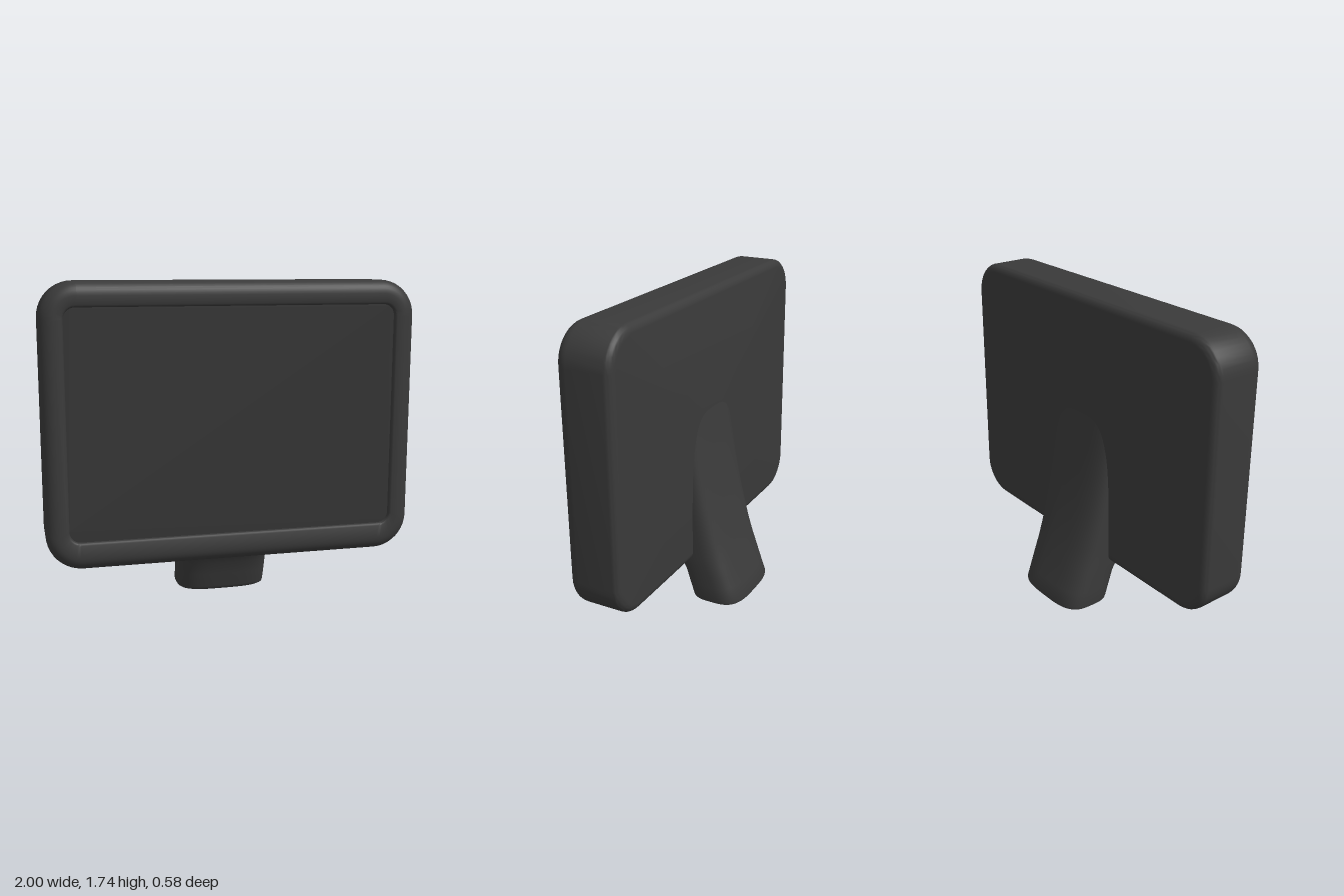
import * as THREE from 'three';
import { toCreasedNormals } from 'three/addons/utils/BufferGeometryUtils.js';

// Skin a list of closed rings, optionally closing the first and last one
function loft(rings, capStart, capEnd) {
  const n = rings[0].length;
  const pos = [], idx = [];
  rings.forEach(r => r.forEach(p => pos.push(p.x, p.y, p.z)));
  for (let k = 0; k < rings.length - 1; k++) {
    for (let i = 0; i < n; i++) {
      const j = (i + 1) % n;
      const a = k * n + i, b = k * n + j, c = a + n, d = b + n;
      idx.push(a, b, d, a, d, c);
    }
  }
  const cap = (k, flip) => {
    const centre = new THREE.Vector3();
    rings[k].forEach(p => centre.addScaledVector(p, 1 / n));
    const c = pos.length / 3;
    pos.push(centre.x, centre.y, centre.z);
    for (let i = 0; i < n; i++) {
      const a = k * n + i, b = k * n + (i + 1) % n;
      if (flip) idx.push(c, b, a); else idx.push(c, a, b);
    }
  };
  if (capStart) cap(0, true);
  if (capEnd) cap(rings.length - 1, false);
  const g = new THREE.BufferGeometry();
  g.setAttribute('position', new THREE.Float32BufferAttribute(pos, 3));
  g.setIndex(idx);
  return toCreasedNormals(g, 0.65);
}

// Rounded rectangle facing +z, counter-clockwise
function roundedRing(hw, hh, r, cy, z) {
  const pts = [], steps = 10;
  [[1, 1], [-1, 1], [-1, -1], [1, -1]].forEach(([sx, sy], q) => {
    for (let i = 0; i <= steps; i++) {
      const a = (q + i / steps) * Math.PI / 2;
      pts.push(new THREE.Vector3(
        sx * (hw - r) + r * Math.cos(a), cy + sy * (hh - r) + r * Math.sin(a), z));
    }
  });
  return pts;
}

// Squared oval lying level at height y, between two z limits
function ovalRing(y, zBack, zFront, hw) {
  const pts = [], n = 56, e = 2 / 3.3;
  const zc = (zBack + zFront) / 2, hd = (zFront - zBack) / 2;
  const power = v => Math.sign(v) * Math.abs(v) ** e;
  for (let i = 0; i < n; i++) {
    const a = i / n * Math.PI * 2;
    pts.push(new THREE.Vector3(hw * power(Math.cos(a)), y, zc - hd * power(Math.sin(a))));
  }
  return pts;
}

export function createModel() {
  const group = new THREE.Group();
  const casing = new THREE.MeshStandardMaterial({ name: 'charcoal casing', color: 0x3a3a3a });
  const glass = new THREE.MeshStandardMaterial({ name: 'dark screen', color: 0x343434 });
  const add = (name, geometry, material) => {
    const mesh = new THREE.Mesh(geometry, material);
    mesh.name = name;
    group.add(mesh);
  };

  // Housing: soft back edge, straight sides, rounder front edge
  const rings = [];
  const outer = (inset, z) =>
    rings.push(roundedRing(1 - inset, 0.745 - inset, 0.19 - inset, 0.995, z));
  const steps = 8;
  for (let i = 0; i <= steps; i++) {
    const a = i / steps * Math.PI / 2;
    outer(0.05 * (1 - Math.sin(a)), -0.02 + 0.04 * (1 - Math.cos(a)));
  }
  for (let i = 0; i <= steps; i++) {
    const a = i / steps * Math.PI / 2;
    outer(0.07 * (1 - Math.cos(a)), 0.22 + 0.07 * Math.sin(a));
  }
  // Lip stepping down to the sunken screen
  const inner = (grow, z) => roundedRing(0.88 + grow, 0.605 + grow, 0.06 + grow, 1.007, z);
  rings.push(inner(0.012, 0.29), inner(0.004, 0.286), inner(0, 0.278), inner(0, 0.265));
  add('housing', loft(rings, true, false), casing);

  // Screen
  const edge = inner(0, 0.265);
  const screen = new THREE.ShapeGeometry(new THREE.Shape(edge.map(p => new THREE.Vector2(p.x, p.y))));
  screen.translate(0, 0, 0.265);
  add('screen', screen, glass);

  // Leaning stand: height, back z, front z, half width
  const sections = [
    [0, -0.28, 0.02, 0.24], [0.006, -0.288, 0.028, 0.25], [0.02, -0.29, 0.033, 0.253],
    [0.1, -0.26, 0.058, 0.254], [0.17, -0.235, 0.08, 0.254], [0.22, -0.218, 0.11, 0.255],
    [0.26, -0.205, 0.14, 0.255], [0.36, -0.172, 0.15, 0.255], [0.56, -0.118, 0.15, 0.254],
    [0.75, -0.077, 0.15, 0.252], [0.94, -0.042, 0.15, 0.25], [1.1, -0.018, 0.15, 0.25],
    [1.15, -0.01, 0.15, 0.25],
  ];
  add('stand', loft(sections.map(s => ovalRing(...s)), true, true), casing);

  return group;
}
